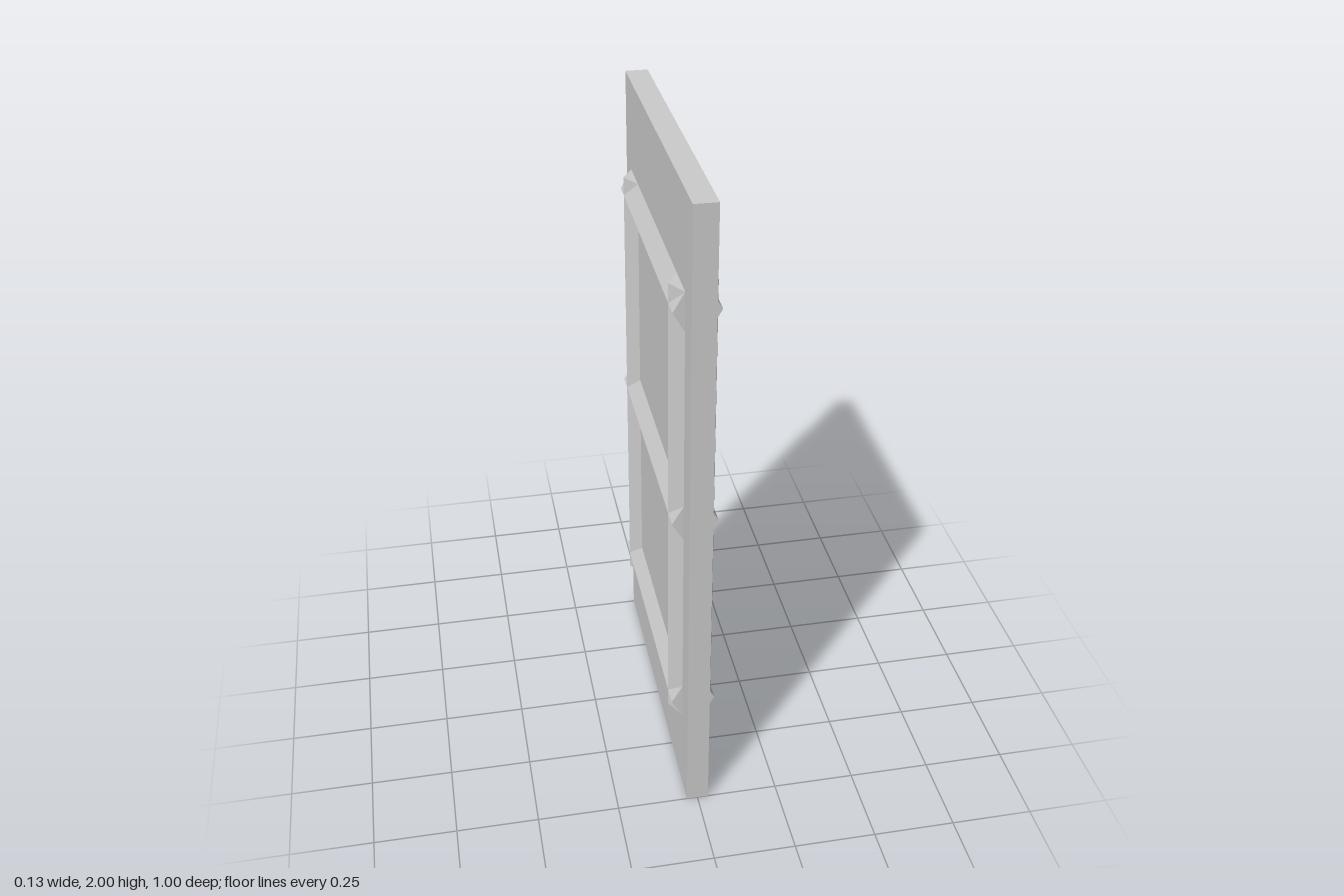
import * as THREE from 'three';

const RADIUS = 1 / 15; // hexagonal bars, ridge outward on both faces
const HALF_WIDTH = RADIUS * Math.sin(Math.PI / 3);

export function createModel() {
  const group = new THREE.Group();
  const material = new THREE.MeshStandardMaterial({ color: 0xcccccc, flatShading: true });

  // Flat door slab
  const slab = new THREE.Mesh(new THREE.BoxGeometry(RADIUS, 2, 1), material);
  slab.name = 'doorSlab';
  slab.position.y = 1;
  group.add(slab);

  // Six-sided bar running through the slab
  function addBar(name, length, y, z, horizontal) {
    const geometry = new THREE.CylinderGeometry(RADIUS, RADIUS, length, 6, 1, false, Math.PI / 6);
    if (horizontal) geometry.rotateX(Math.PI / 2);
    const bar = new THREE.Mesh(geometry, material);
    bar.name = name;
    bar.position.set(0, y, z);
    group.add(bar);
  }

  const railGap = 2 / 3;
  const stileZ = 0.358;

  // Upright stiles
  addBar('frontStile', 2 * (railGap + HALF_WIDTH), 1, stileZ, false);
  addBar('backStile', 2 * (railGap + HALF_WIDTH), 1, -stileZ, false);

  // Crossing rails, ends flush with the outer edges of the stiles
  ['bottomRail', 'middleRail', 'topRail'].forEach((name, i) => {
    addBar(name, 2 * (stileZ + HALF_WIDTH), 1 + (i - 1) * railGap, 0, true);
  });

  return group;
}
